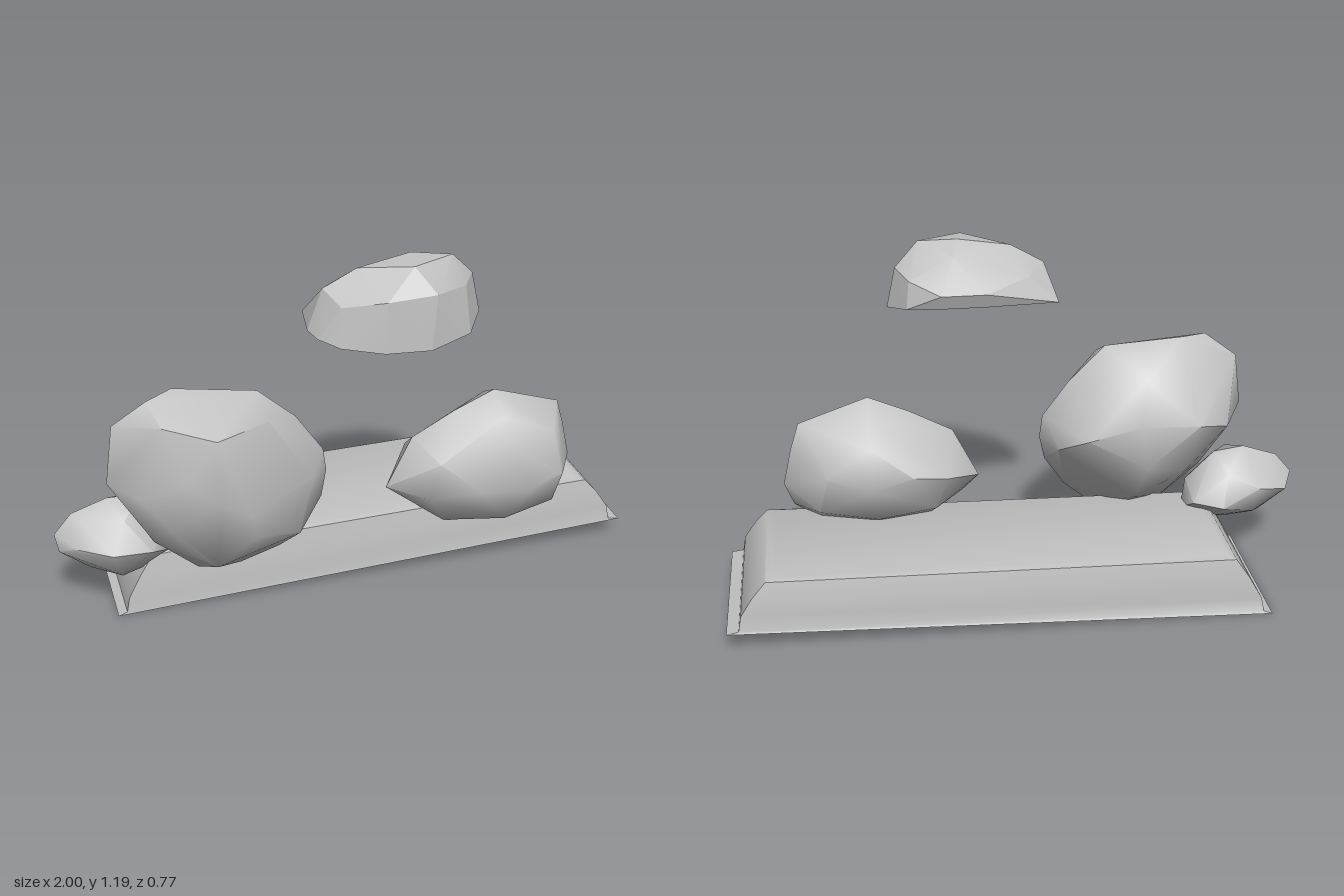
import * as THREE from 'three';
import { toCreasedNormals } from 'three/addons/utils/BufferGeometryUtils.js';
import { ConvexGeometry } from 'three/addons/geometries/ConvexGeometry.js';

const stone = new THREE.MeshStandardMaterial({ color: 0xc0c0c0 });
stone.name = 'grey stone';

// Faceted boulder: the hull of a few corner points, softened below the crease angle
function boulder(name, corners, crease) {
  const hull = new ConvexGeometry(corners.map((p) => new THREE.Vector3(...p)));
  hull.deleteAttribute('normal');
  const mesh = new THREE.Mesh(toCreasedNormals(hull, crease), stone);
  mesh.name = name;
  return mesh;
}

// Tilted slab: stacked rectangles [xLeft, xRight, zBack, zFront, yLeft, yRight]
function slab() {
  const levels = [
    [-0.82, 1.0, -0.385, 0.165, 0.0, 0.07],
    [-0.79, 0.96, -0.38, 0.163, 0.01, 0.076],
    [-0.78, 0.95, -0.378, 0.16, 0.06, 0.13],
    [-0.735, 0.91, -0.37, 0.152, 0.14, 0.19],
    [-0.69, 0.865, -0.358, 0.142, 0.204, 0.24],
    [-0.66, 0.835, -0.34, 0.125, 0.215, 0.247],
  ];
  const pos = [];
  const index = [];
  for (const [x0, x1, z0, z1, yL, yR] of levels) {
    pos.push(x0, yL, z1, x1, yR, z1, x1, yR, z0, x0, yL, z0);
  }
  for (let l = 0; l < levels.length - 1; l++) {
    for (let i = 0; i < 4; i++) {
      const a = l * 4 + i;
      const b = l * 4 + ((i + 1) % 4);
      index.push(a, b, b + 4, a, b + 4, a + 4);
    }
  }
  const t = (levels.length - 1) * 4;
  index.push(t, t + 1, t + 2, t, t + 2, t + 3); // top
  index.push(0, 2, 1, 0, 3, 2); // underside
  const geo = new THREE.BufferGeometry();
  geo.setAttribute('position', new THREE.Float32BufferAttribute(pos, 3));
  geo.setIndex(index);
  const mesh = new THREE.Mesh(toCreasedNormals(geo, 0.75), stone);
  mesh.name = 'baseSlab';
  return mesh;
}

export function createModel() {
  const group = new THREE.Group();
  group.name = 'floatingRocks';
  group.add(slab());

  group.add(boulder('largeBoulder', [
    // outline
    [-0.69, 0.8, 0.2], [-0.6, 0.81, 0.15], [-0.33, 0.78, 0.18], [-0.2, 0.66, 0.16],
    [-0.11, 0.53, 0.17], [-0.1, 0.45, 0.17], [-0.12, 0.36, 0.18], [-0.19, 0.26, 0.17],
    [-0.27, 0.19, 0.18], [-0.4, 0.15, 0.18], [-0.55, 0.17, 0.2], [-0.69, 0.29, 0.2],
    [-0.83, 0.53, 0.2], [-0.8, 0.72, 0.18],
    // front
    [-0.5, 0.5, 0.39], [-0.6, 0.58, 0.37], [-0.4, 0.44, 0.38], [-0.18, 0.5, 0.3],
    [-0.32, 0.72, 0.29], [-0.66, 0.75, 0.3], [-0.5, 0.71, 0.36], [-0.74, 0.5, 0.28],
    [-0.65, 0.4, 0.33], [-0.5, 0.22, 0.3], [-0.22, 0.29, 0.28], [-0.38, 0.34, 0.35],
    // back
    [-0.42, 0.57, -0.065], [-0.24, 0.52, -0.05], [-0.63, 0.55, -0.04], [-0.45, 0.71, 0.02],
    [-0.45, 0.4, -0.04], [-0.74, 0.52, 0.02], [-0.42, 0.26, 0.03], [-0.15, 0.45, 0.05],
    [-0.6, 0.35, 0.03],
  ], 0.8));

  group.add(boulder('mediumBoulder', [
    // outline
    [0.12, 0.33, 0.14], [0.21, 0.51, 0.14], [0.36, 0.59, 0.14], [0.5, 0.65, 0.14],
    [0.74, 0.57, 0.13], [0.77, 0.48, 0.12], [0.8, 0.35, 0.12], [0.77, 0.26, 0.14],
    [0.67, 0.19, 0.14], [0.5, 0.155, 0.16], [0.33, 0.17, 0.15], [0.18, 0.28, 0.13],
    // front
    [0.4, 0.36, 0.325], [0.58, 0.35, 0.325], [0.7, 0.38, 0.3], [0.5, 0.52, 0.31],
    [0.68, 0.52, 0.25], [0.27, 0.46, 0.27], [0.24, 0.32, 0.25], [0.5, 0.23, 0.29],
    [0.69, 0.25, 0.25], [0.5, 0.59, 0.24],
    // back
    [0.36, 0.42, -0.045], [0.5, 0.38, -0.05], [0.65, 0.42, -0.02], [0.5, 0.52, -0.02],
    [0.24, 0.4, -0.02], [0.48, 0.25, 0.0], [0.68, 0.28, 0.02], [0.5, 0.6, 0.05],
    [0.28, 0.27, 0.02],
  ], 0.8));

  group.add(boulder('smallBoulder', [
    [-1.0, 0.3, 0.08], [-0.99, 0.25, 0.11], [-0.94, 0.37, 0.08], [-0.82, 0.41, 0.08],
    [-0.71, 0.4, 0.07], [-0.61, 0.3, 0.07], [-0.6, 0.18, 0.08], [-0.68, 0.135, 0.08],
    [-0.78, 0.13, 0.09], [-0.89, 0.155, 0.08],
    [-0.83, 0.28, 0.24], [-0.7, 0.27, 0.23], [-0.94, 0.28, 0.16], [-0.8, 0.18, 0.2],
    [-0.78, 0.37, 0.18], [-0.96, 0.27, 0.0], [-0.85, 0.3, -0.05], [-0.72, 0.24, -0.07],
    [-0.62, 0.25, -0.03], [-0.74, 0.35, -0.03], [-0.84, 0.2, -0.02],
  ], 0.8));

  // Top rock: its underside is one tilted plane
  const rim = [
    [-0.15, 0.07], [-0.16, 0.17], [-0.14, 0.22], [-0.08, 0.28], [0.05, 0.33], [0.2, 0.34],
    [0.35, 0.28], [0.42, 0.17], [0.36, 0.06], [0.25, 0.02], [0.1, 0.02], [0.0, 0.04],
  ].map(([x, z]) => [x, 0.92 + (0.34 - z) * 0.25, z]);
  group.add(boulder('floatingRock', [
    ...rim,
    [-0.11, 1.1, 0.17], [0.0, 1.16, 0.18], [0.18, 1.19, 0.17], [0.31, 1.18, 0.2],
    [0.39, 1.1, 0.17], [0.06, 1.09, 0.32], [0.22, 1.1, 0.325], [0.16, 1.18, 0.27],
    [0.34, 1.09, 0.25], [-0.07, 1.06, 0.25], [0.1, 1.05, 0.0], [0.25, 1.05, 0.0],
    [0.2, 1.15, 0.1], [0.35, 1.08, 0.08], [-0.05, 1.08, 0.08],
  ], 0.35));

  return group;
}
